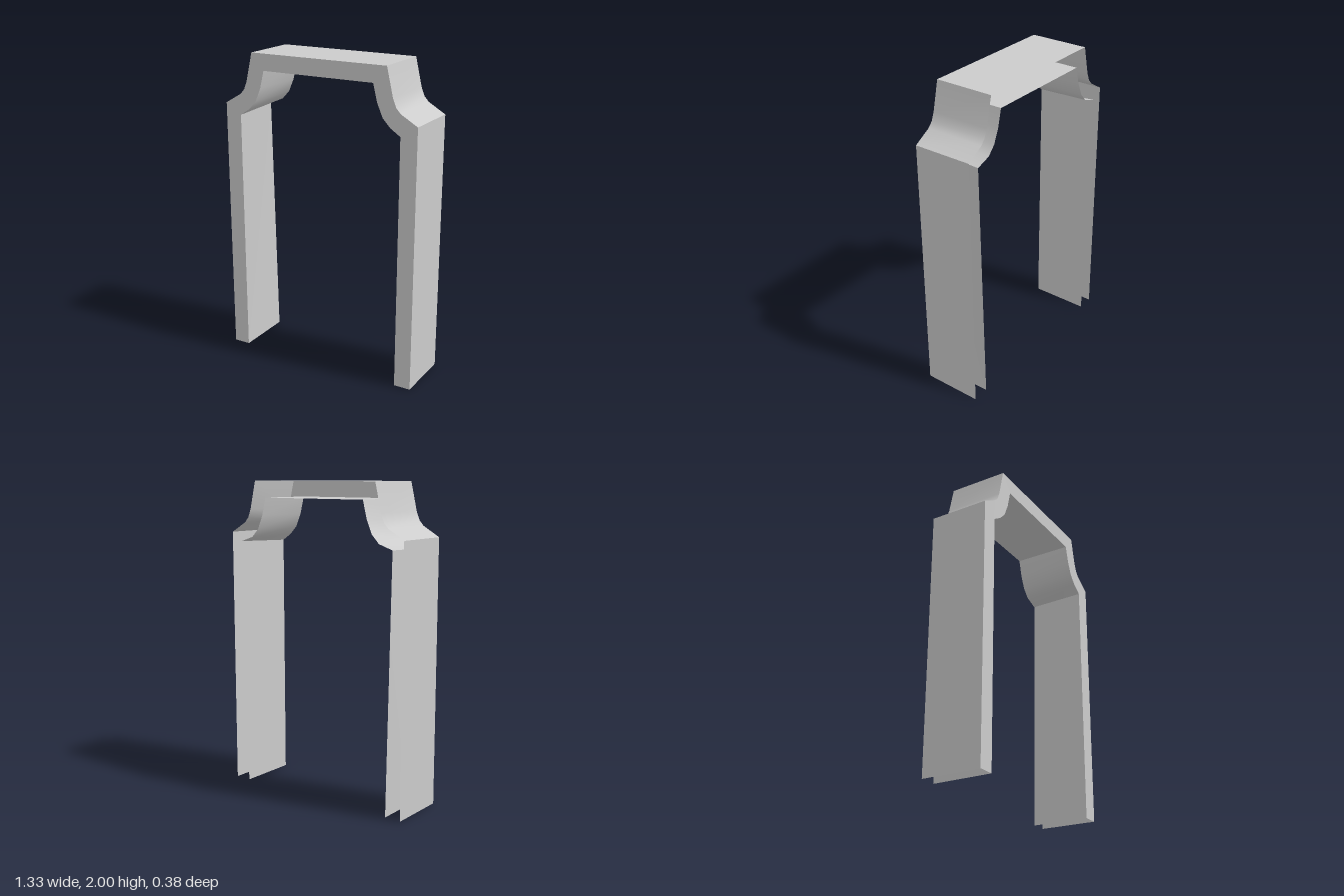
import * as THREE from 'three';
import { toCreasedNormals } from 'three/addons/utils/BufferGeometryUtils.js';

const HALF_DEPTH = 0.19;

// Half profiles from the foot up to the roof corner, as [x, y]
const outerHalf = [[0.665, 0], [0.665, 1.671], [0.555, 1.735], [0.526, 1.767], [0.505, 1.82], [0.463, 2]];
const innerHalf = [[0.557, 0], [0.557, 1.602], [0.492, 1.645], [0.442, 1.698], [0.405, 1.783], [0.377, 1.895]];
// The lining's shoulder flares slightly outward at the open back
const innerBackHalf = innerHalf.map(([x, y], i) => (i === 1 ? [0.587, 1.613] : [x, y]));

// Full arch outline: up the left side, down the mirrored right side
const arch = (half) => [...half, ...half.map(([x, y]) => [-x, y]).reverse()];

// Thin sheet spanning from a front outline to a back outline
function sheet(name, front, back, material) {
  const pos = [];
  for (let i = 0; i < front.length - 1; i++) {
    const a = [...front[i], HALF_DEPTH], b = [...front[i + 1], HALF_DEPTH];
    const c = [...back[i + 1], -HALF_DEPTH], d = [...back[i], -HALF_DEPTH];
    pos.push(...a, ...d, ...c, ...a, ...c, ...b);
  }
  const geometry = new THREE.BufferGeometry();
  geometry.setAttribute('position', new THREE.Float32BufferAttribute(pos, 3));
  const mesh = new THREE.Mesh(toCreasedNormals(geometry, 0.7), material);
  mesh.name = name;
  return mesh;
}

export function createModel() {
  const group = new THREE.Group();
  group.name = 'archFrame';
  const material = new THREE.MeshStandardMaterial({ color: 0xcccccc, side: THREE.DoubleSide });

  const outer = arch(outerHalf);
  const inner = arch(innerHalf);

  // Flat front trim between the two outlines
  const outline = [...outer, ...inner.slice().reverse()].map(([x, y]) => new THREE.Vector2(x, y));
  const face = new THREE.Mesh(new THREE.ShapeGeometry(new THREE.Shape(outline)), material);
  face.name = 'frontFace';
  face.position.z = HALF_DEPTH;
  group.add(face);

  // Outer shell and inner lining, open at the back and at the feet
  group.add(sheet('outerShell', outer, outer, material));
  group.add(sheet('innerLining', inner.slice().reverse(), arch(innerBackHalf).reverse(), material));

  return group;
}
